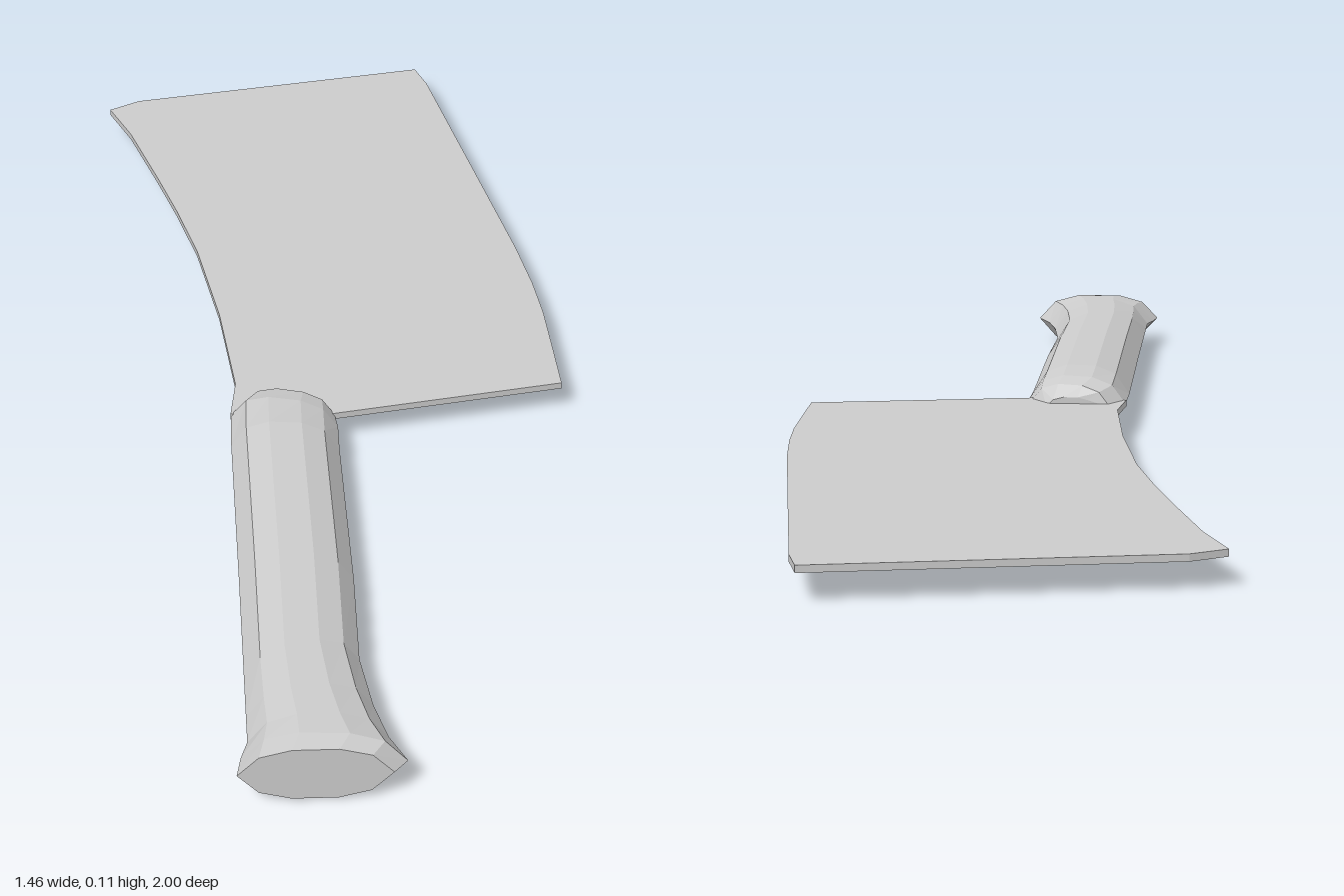
import * as THREE from 'three';

const MID = 0.053; // height of the mid plane shared by blade and handle

// Flat blade plate from its outline in (x, z)
function bladeGeometry() {
  const outline = [
    [-0.28, -1], [-0.23, -0.96], [0, -0.72], [0.22, -0.49], [0.3, -0.4], [0.36, -0.325], [0.42, -0.24],
    [0.49, -0.14], [0.2, 0.14], [0.14, 0.2], [0.04, 0.24], [0, 0.16], [-0.14, -0.01],
    [-0.29, -0.17], [-0.4, -0.27], [-0.5, -0.355], [-0.64, -0.47], [-0.73, -0.53], [-0.7, -0.59],
  ];
  const shape = new THREE.Shape(outline.map(([x, z]) => new THREE.Vector2(x, z)));
  const geo = new THREE.ExtrudeGeometry(shape, { depth: 0.012, bevelEnabled: false });
  return geo.rotateX(Math.PI / 2).translate(0, MID + 0.006, 0);
}

// Faceted grip lofted through cross-sections
function handleGeometry() {
  // left x, left z, right x, right z, half height
  const sections = [
    [0.065, 0.175, 0.14, 0.125, 0.018],
    [0.04, 0.19, 0.19, 0.14, 0.038],
    [0.038, 0.235, 0.215, 0.17, 0.047],
    [0.085, 0.31, 0.25, 0.225, 0.053],
    [0.29, 0.615, 0.445, 0.515, 0.053],
    [0.42, 0.81, 0.55, 0.68, 0.053],
    [0.47, 0.885, 0.62, 0.76, 0.053],
    [0.5, 0.93, 0.675, 0.81, 0.053],
    [0.51, 0.965, 0.725, 0.84, 0.053],
    [0.525, 1, 0.72, 0.872, 0.048],
  ];
  // position across the width, share of the half height
  const ring = [[0, 0], [0.14, 0.72], [0.35, 1], [0.65, 1], [0.86, 0.72],
    [1, 0], [0.86, -0.72], [0.65, -1], [0.35, -1], [0.14, -0.72]];
  const n = ring.length;
  const last = (sections.length - 1) * n;
  const pos = [];
  const idx = [];
  for (const [lx, lz, rx, rz, h] of sections) {
    for (const [u, v] of ring) pos.push(lx + (rx - lx) * u, MID + h * v, lz + (rz - lz) * u);
  }
  for (let i = 0; i < last; i += n) {
    for (let j = 0; j < n; j++) {
      const k = (j + 1) % n;
      idx.push(i + j, i + n + j, i + k, i + k, i + n + j, i + n + k);
    }
  }
  // end caps
  for (let j = 1; j < n - 1; j++) {
    idx.push(0, j, j + 1, last, last + j + 1, last + j);
  }
  const geo = new THREE.BufferGeometry();
  geo.setAttribute('position', new THREE.Float32BufferAttribute(pos, 3));
  geo.setIndex(idx);
  geo.computeVertexNormals();
  return geo;
}

export function createModel() {
  const steel = new THREE.MeshStandardMaterial({ color: 0xcccccc, flatShading: true });
  steel.name = 'lightGrey';

  const group = new THREE.Group();
  group.name = 'cleaver';
  const blade = new THREE.Mesh(bladeGeometry(), steel);
  blade.name = 'blade';
  const handle = new THREE.Mesh(handleGeometry(), steel);
  handle.name = 'handle';
  group.add(blade, handle);
  return group;
}
